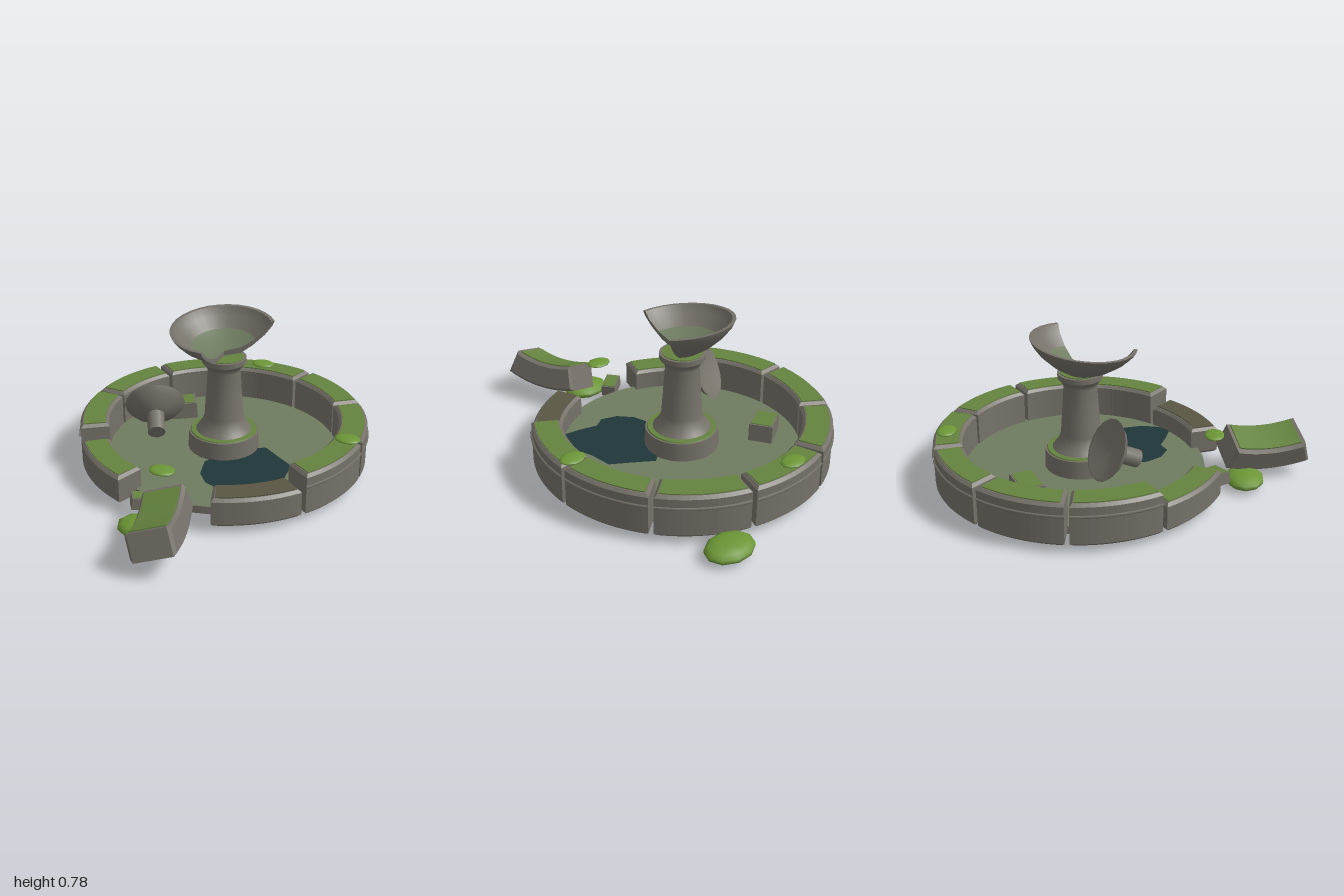
import * as THREE from 'three';

const mat = (name, color) => {
  const m = new THREE.MeshStandardMaterial({ color });
  m.name = name;
  return m;
};
const RAD = Math.PI / 180;
const CZ = -0.17; // basin centre
const R_IN = 0.597, R_OUT = 0.745, BASE = 0.04, FLOOR = 0.08;

export function createModel() {
  const stone = mat('stone', 0x76726a);
  const moss = mat('moss', 0x65833f);
  const mossyStone = mat('mossy stone', 0x6e7c60);
  const darkStone = mat('dark stone', 0x5a5644);
  const bush = mat('bush green', 0x6c9636);
  const water = mat('stagnant water', 0x203638);
  const stoneSheet = stone.clone();
  Object.assign(stoneSheet, { name: 'broken stone', side: THREE.DoubleSide });

  const model = new THREE.Group();
  const add = (parent, name, geo, material, x = 0, y = 0, z = 0) => {
    const m = new THREE.Mesh(geo, material);
    m.name = name;
    m.position.set(x, y, z);
    parent.add(m);
    return m;
  };
  const group = (name, x, y, z) => {
    const g = new THREE.Group();
    g.name = name;
    g.position.set(x, y, z);
    model.add(g);
    return g;
  };

  // Curved block: arc in plan, centred on an angle (90 degrees = back), rising from y = 0
  const arcBlock = (angle, half, r0, r1, h, bevel = 0) => {
    const s = new THREE.Shape();
    const a = (angle - half) * RAD, b = (angle + half) * RAD;
    s.absarc(0, 0, r1, a, b, false);
    s.absarc(0, 0, r0, b, a, true);
    s.closePath();
    const g = new THREE.ExtrudeGeometry(s, {
      depth: h - 2 * bevel, curveSegments: 7, bevelEnabled: bevel > 0, bevelSegments: 1,
      bevelSize: bevel, bevelThickness: bevel, bevelOffset: -bevel,
    });
    return g.translate(0, 0, bevel).rotateX(-Math.PI / 2);
  };
  const lathe = (pts, seg = 24, start = 0, len = Math.PI * 2) =>
    new THREE.LatheGeometry(pts.map(p => new THREE.Vector2(...p)), seg, start, len);

  // Basin floor
  const basin = group('basin', 0, 0, CZ);
  add(basin, 'basinFloor', new THREE.CylinderGeometry(0.635, 0.635, FLOOR - BASE, 40),
    [stone, mossyStone, stone], 0, (FLOOR + BASE) / 2, 0);

  // Wall of ten blocks: the front one is missing, its neighbours are lower
  for (let k = 0; k < 10; k++) {
    if (k === 5) continue;
    const angle = 90 + k * 36;
    const low = k === 4 || k === 6;
    const h = low ? 0.147 : 0.217;
    add(basin, 'wallBlock', arcBlock(angle, 17.1, R_IN, R_OUT, h, 0.014), stone, 0, BASE, 0);
    add(basin, 'wallTop', arcBlock(angle, 15.6, R_IN + 0.018, R_OUT - 0.018, 0.006),
      k === 6 ? darkStone : moss, 0, BASE + h - 0.001, 0);
    if (low) continue;
    const band = new THREE.TorusGeometry(R_OUT, 0.008, 5, 8, 34 * RAD);
    band.rotateZ((angle - 17) * RAD).rotateX(-Math.PI / 2);
    add(basin, 'wallBand', band, stone, 0, 0.195, 0);
  }

  // Puddle
  const puddle = new THREE.Shape([
    [0.22, -0.22], [0.32, -0.15], [0.41, -0.09], [0.42, 0.03], [0.45, 0.13], [0.44, 0.22], [0.4, 0.28],
    [0.3, 0.26], [0.22, 0.235], [0.16, 0.27], [0.08, 0.24], [0.02, 0.17], [-0.01, 0.05], [0.05, -0.1],
  ].map(([x, z]) => new THREE.Vector2(x, -z)));
  add(model, 'puddle', new THREE.ShapeGeometry(puddle).rotateX(-Math.PI / 2), water, 0, FLOOR + 0.004, 0);

  // Pedestal
  const pedestal = group('pedestal', 0, 0, CZ);
  add(pedestal, 'pedestalBase', new THREE.CylinderGeometry(0.183, 0.187, 0.1, 24), stone, 0, 0.125, 0);
  add(pedestal, 'baseMoss', new THREE.CylinderGeometry(0.172, 0.176, 0.008, 24), moss, 0, 0.177, 0);
  add(pedestal, 'column', lathe([[0.15, 0.175], [0.135, 0.195], [0.113, 0.225], [0.102, 0.26],
    [0.092, 0.4], [0.084, 0.515], [0.096, 0.54], [0.114, 0.56]]), stone);
  add(pedestal, 'capital', new THREE.CylinderGeometry(0.114, 0.114, 0.026, 24), stone, 0, 0.573, 0);
  add(pedestal, 'capitalMoss', new THREE.CylinderGeometry(0.1, 0.1, 0.006, 24), moss, 0, 0.587, 0);

  // Broken tilted bowl
  const bowl = group('brokenBowl', 0, 0.59, CZ);
  bowl.rotation.x = 0.127;
  const start = 126 * RAD, sweep = 234 * RAD;
  const outer = [[0, 0], [0.085, 0], [0.15, 0.035], [0.215, 0.085], [0.255, 0.13], [0.268, 0.155]];
  const rim = [[0.268, 0.155], [0.25, 0.155]];
  const inner = [[0.25, 0.155], [0.225, 0.115], [0.165, 0.068]];
  const bed = [[0.165, 0.068], [0.09, 0.034], [0, 0.026]];
  for (const [name, pts, m] of [['bowlOutside', outer, stone], ['bowlRim', rim, stone],
    ['bowlInside', inner, stone], ['bowlMoss', bed, mossyStone]])
    add(bowl, name, lathe(pts, 20, start, sweep), m);
  const section = new THREE.Shape([...outer, ...rim, ...inner, ...bed].map(p => new THREE.Vector2(...p)));
  for (const phi of [start, start + sweep])
    add(bowl, 'bowlBreak', new THREE.ShapeGeometry(section).rotateY(phi - Math.PI / 2), stoneSheet);

  // Fallen small dish with its stem
  const dish = group('fallenDish', -0.325, 0.32, -0.02);
  dish.quaternion.setFromUnitVectors(new THREE.Vector3(0, 1, 0),
    new THREE.Vector3(-0.44, 0.44, -0.78).normalize());
  add(dish, 'dishOutside', lathe([[0.045, -0.075], [0.08, -0.062], [0.13, -0.03], [0.155, 0]], 18), stone);
  add(dish, 'dishInside', lathe([[0.155, 0], [0.14, 0], [0.08, -0.022], [0, -0.03]], 18), stone);
  add(dish, 'dishStem', new THREE.CylinderGeometry(0.045, 0.045, 0.12, 14), stone, 0, -0.125, 0);

  // Fallen wall block lying on its outer face
  const fallen = group('fallenBlock', 0.105, 0.147, 0.765);
  fallen.rotation.set(0, 0.27, 0.3, 'YXZ');
  const lay = new THREE.Matrix4().makeBasis(new THREE.Vector3(0, 0, 1),
    new THREE.Vector3(1, 0, 0), new THREE.Vector3(0, 1, 0));
  const laid = (r0, r1, half, h, bevel) =>
    arcBlock(90, half, r0, r1, h, bevel).translate(0, -h / 2, 0.67).applyMatrix4(lay);
  add(fallen, 'blockBody', laid(0.605, 0.738, 17.5, 0.215, 0.014), stone);
  add(fallen, 'blockMoss', laid(0.599, 0.607, 15.8, 0.175, 0), moss);

  // Rubble
  const rubble = (x, y, z, w, h, d, yaw, roll) => {
    const g = group('rubble', x, y, z);
    g.rotation.set(0, yaw, roll, 'YXZ');
    add(g, 'rubbleStone', new THREE.BoxGeometry(w, h, d), stone);
    add(g, 'rubbleMoss', new THREE.BoxGeometry(w * 0.88, 0.006, d * 0.86), moss, 0, h / 2, 0);
  };
  rubble(-0.36, 0.125, -0.4, 0.17, 0.09, 0.12, 0.52, 0.06);
  rubble(-0.115, 0.085, 0.52, 0.12, 0.06, 0.075, 0.6, -0.12);

  // Bushes on the ground and moss cushions on the wall
  for (const [x, y, z, rx, ry, rz] of [
    [0.405, 0.042, -0.9, 0.13, 0.04, 0.1], [-0.047, 0.042, 0.665, 0.125, 0.04, 0.1],
    [-0.02, 0.266, 0.505, 0.067, 0.014, 0.052], [0.676, 0.266, -0.155, 0.067, 0.014, 0.052],
    [-0.05, 0.266, -0.85, 0.067, 0.014, 0.052],
  ]) add(model, 'bush', new THREE.SphereGeometry(1, 10, 7).scale(rx, ry, rz), bush, x, y, z);

  return model;
}
